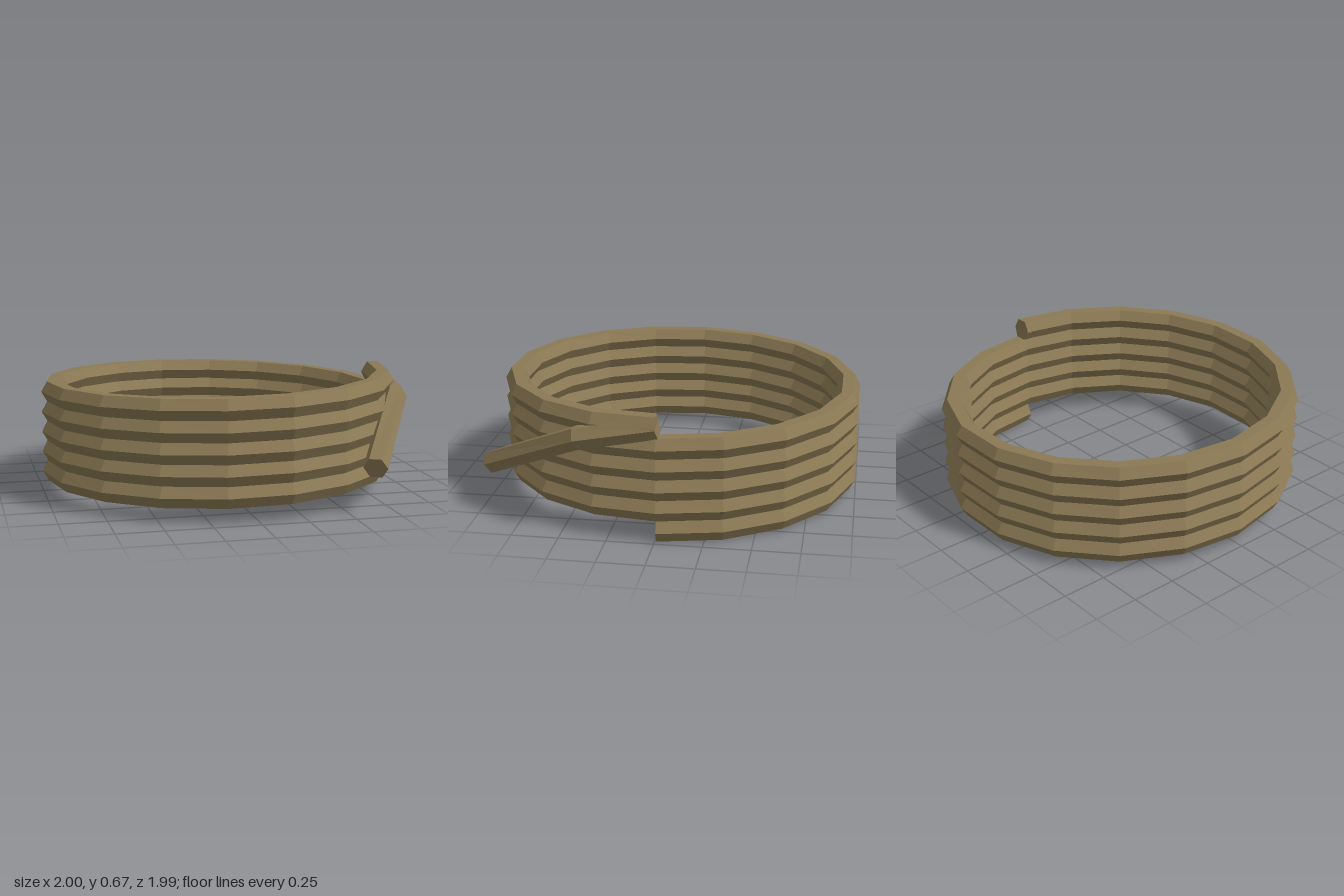
import * as THREE from 'three';

const SIDES = 6, ROPE_R = 0.065;
const TURNS = 5, STEPS = 18, PITCH = 0.112;
const COIL_RX = 0.935, COIL_RZ = 0.942, CENTRE_Z = -0.008;

// Sweep a hexagon along points; each section's side vector stays horizontal.
function ropeGeometry(points, tangents) {
  const up = new THREE.Vector3(0, 1, 0);
  const position = [], index = [];
  points.forEach((p, i) => {
    const t = tangents[i].clone().normalize();
    const side = t.clone().cross(up).normalize();
    const lift = side.clone().cross(t);
    for (let j = 0; j < SIDES; j++) {
      const a = (j / SIDES) * Math.PI * 2;
      const v = p.clone()
        .addScaledVector(side, Math.cos(a) * ROPE_R)
        .addScaledVector(lift, Math.sin(a) * ROPE_R);
      position.push(v.x, v.y, v.z);
    }
  });
  for (let i = 0; i < points.length - 1; i++) {
    for (let j = 0; j < SIDES; j++) {
      const k = (j + 1) % SIDES;
      const a = i * SIDES + j, b = i * SIDES + k;
      index.push(a, a + SIDES, b, b, a + SIDES, b + SIDES);
    }
  }
  // End caps
  const last = (points.length - 1) * SIDES;
  for (let j = 1; j < SIDES - 1; j++) {
    index.push(0, j, j + 1);
    index.push(last, last + j + 1, last + j);
  }
  const indexed = new THREE.BufferGeometry();
  indexed.setAttribute('position', new THREE.Float32BufferAttribute(position, 3));
  indexed.setIndex(index);
  const geometry = indexed.toNonIndexed();
  geometry.computeVertexNormals();
  return geometry;
}

export function createModel() {
  const group = new THREE.Group();
  group.name = 'coiledRope';
  const ropeMaterial = new THREE.MeshStandardMaterial({ color: 0x8b7954, flatShading: true });
  ropeMaterial.name = 'ropeTan';

  // Stacked coil: a helix from the right side round the back
  const points = [], tangents = [];
  for (let i = 0; i <= TURNS * STEPS; i++) {
    const a = (i / STEPS) * Math.PI * 2;
    points.push(new THREE.Vector3(
      COIL_RX * Math.cos(a),
      0.056 + (PITCH * i) / STEPS,
      CENTRE_Z - COIL_RZ * Math.sin(a)));
    tangents.push(new THREE.Vector3(
      -COIL_RX * Math.sin(a), PITCH / (Math.PI * 2), -COIL_RZ * Math.cos(a)));
  }
  const coil = new THREE.Mesh(ropeGeometry(points, tangents), ropeMaterial);
  coil.name = 'coil';
  group.add(coil);

  // Loose end hanging down across the outside of the coil
  const path = [
    new THREE.Vector3(0.935, 0.612, -0.01),
    new THREE.Vector3(0.925, 0.53, 0.4),
    new THREE.Vector3(0.615, 0.25, 0.95),
  ];
  const first = path[1].clone().sub(path[0]).normalize();
  const second = path[2].clone().sub(path[1]).normalize();
  const tail = new THREE.Mesh(
    ropeGeometry(path, [first, first.clone().add(second), second]), ropeMaterial);
  tail.name = 'looseEnd';
  group.add(tail);

  return group;
}
